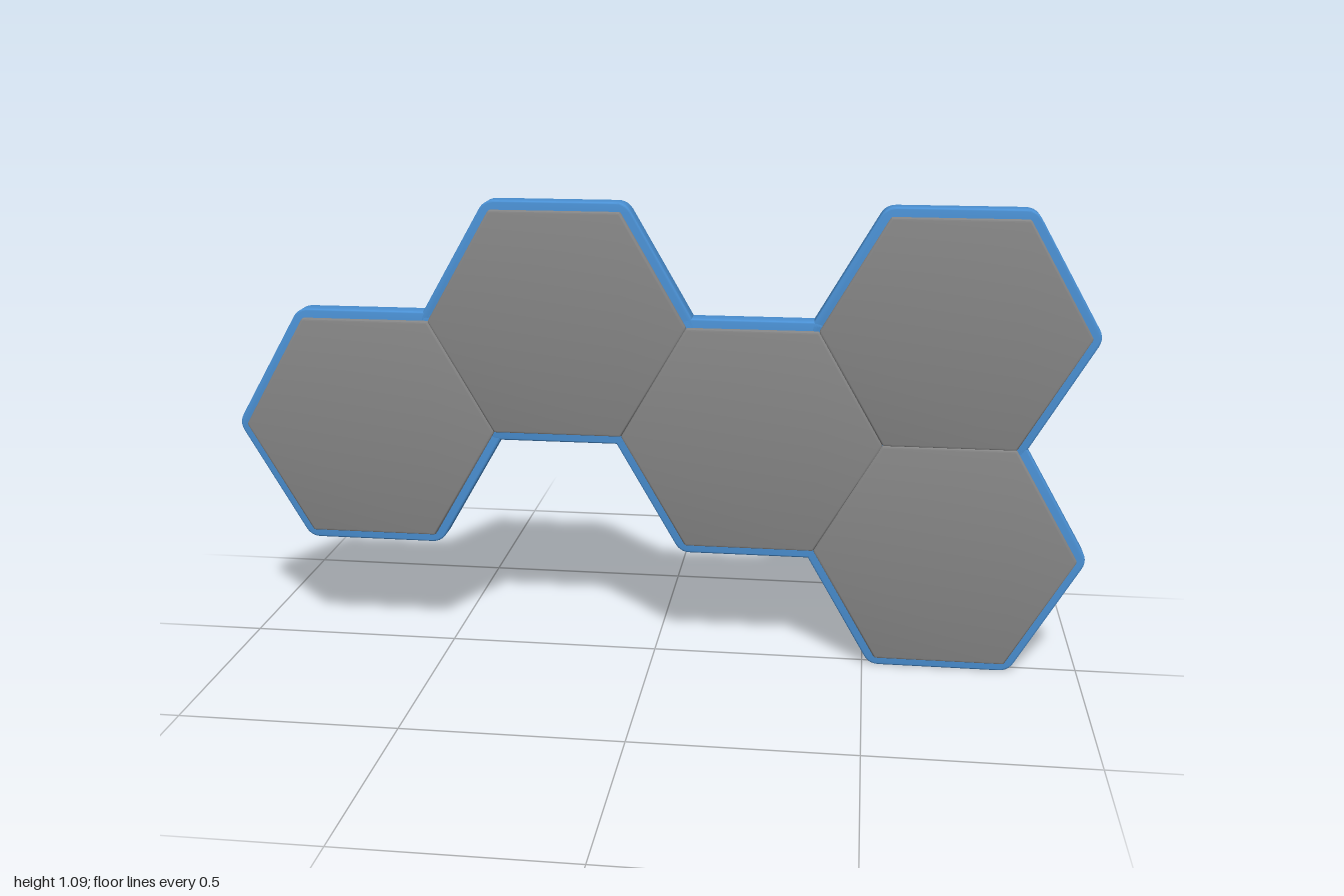
import * as THREE from 'three';
import { toCreasedNormals } from 'three/addons/utils/BufferGeometryUtils.js';

const R = 0.302;                       // tile corner radius
const A = R * Math.sqrt(3) / 2;        // tile apothem
const MID = 2 * A + 0.021;             // height of the middle line

// Flat-topped hexagon with softened corners; cut is the length trimmed per corner
function hexShape(radius, cut) {
  const corners = Array.from({ length: 6 }, (_, i) =>
    new THREE.Vector2(radius * Math.cos(i * Math.PI / 3), radius * Math.sin(i * Math.PI / 3)));
  const shape = new THREE.Shape();
  corners.forEach((c, i) => {
    const a = c.clone().lerp(corners[(i + 5) % 6], cut / radius);
    const b = c.clone().lerp(corners[(i + 1) % 6], cut / radius);
    if (i === 0) shape.moveTo(a.x, a.y);
    else shape.lineTo(a.x, a.y);
    shape.quadraticCurveTo(c.x, c.y, b.x, b.y);
  });
  shape.closePath();
  return shape;
}

// Bevelled slab centred on z = 0 whose outer size matches the shape
function slab(radius, cut, halfDepth, bevel) {
  const geometry = new THREE.ExtrudeGeometry(hexShape(radius, cut), {
    depth: 2 * (halfDepth - bevel),
    bevelThickness: bevel,
    bevelSize: bevel,
    bevelOffset: -bevel,
    bevelSegments: 3,
    curveSegments: 5,
  });
  geometry.translate(0, 0, bevel - halfDepth);
  return toCreasedNormals(geometry, 0.6);
}

export function createModel() {
  const group = new THREE.Group();
  const grey = new THREE.MeshStandardMaterial({ name: 'grey', color: 0x858585 });
  const blue = new THREE.MeshStandardMaterial({ name: 'blue', color: 0x4a90d3 });

  const tileGeometry = slab(R, 0.005, 0.037, 0.005);
  const rimGeometry = slab((A + 0.021) * 2 / Math.sqrt(3), 0.023, 0.0245, 0.004);

  // Column and row (in apothems from the middle line) of each tile
  const cells = [[-1.5, 0], [-0.5, 1], [0.5, 0], [1.5, 1], [1.5, -1]];
  cells.forEach(([column, row], i) => {
    // The left four columns step by 1.5 corner radii
    const x = column * 1.5 * R;
    const y = MID + row * A;
    const tile = new THREE.Mesh(tileGeometry, grey);
    tile.name = `hexTile${i + 1}`;
    const rim = new THREE.Mesh(rimGeometry, blue);
    rim.name = `rim${i + 1}`;
    for (const mesh of [tile, rim]) {
      mesh.position.set(x, y, 0);
      group.add(mesh);
    }
  });

  // Lower the two outer tiles of the zigzag so neighbours share full edges
  group.name = 'hexTilePanel';
  return group;
}
